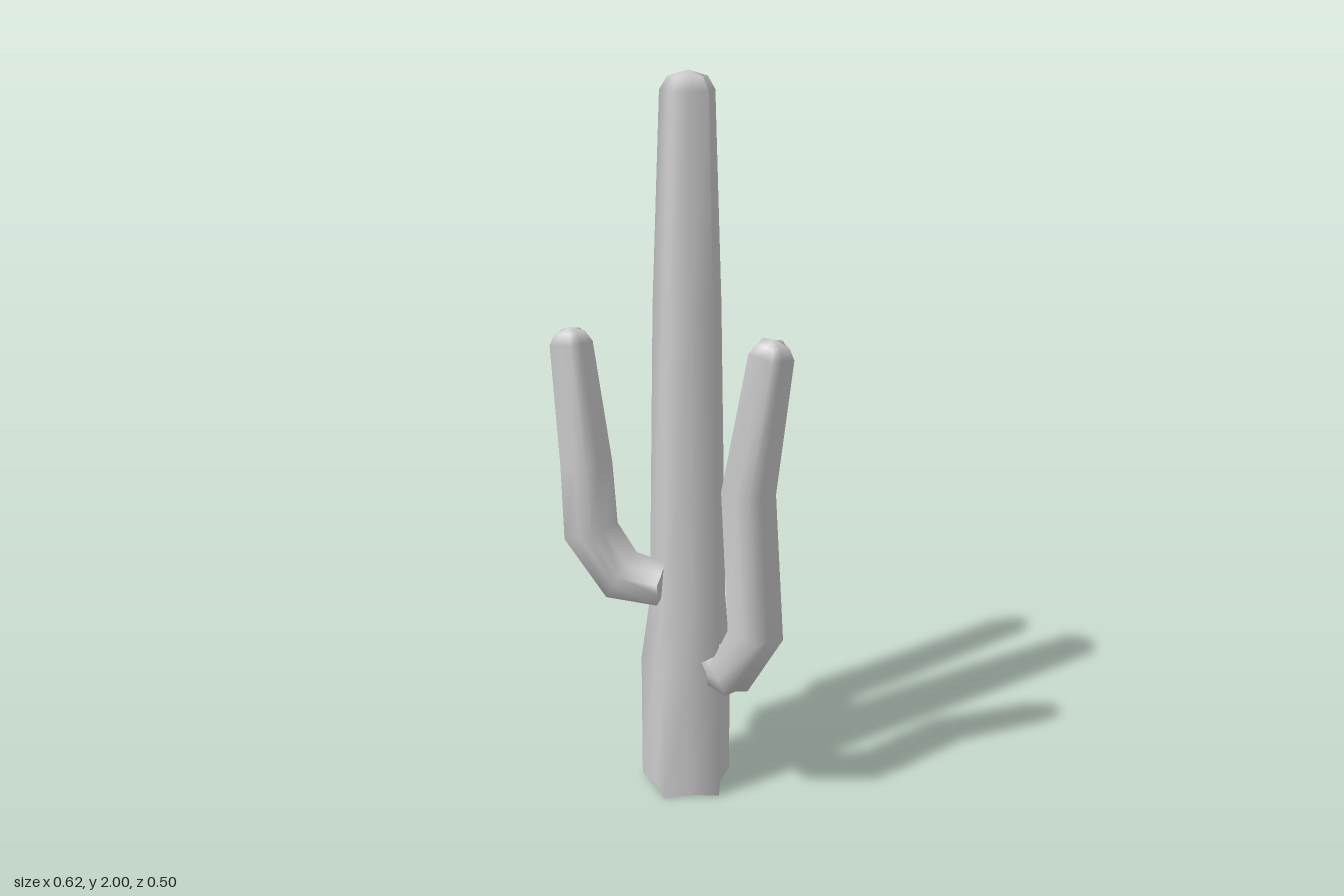
import * as THREE from 'three';

const RIBS = 5, SIDES = RIBS * 2, VALLEY = 0.73;

// Ribbed star-section stem swept along stations [x, y, z, radius], mitred at each bend,
// with a flat cap at the start and a rounded tip at the end.
function stem(name, stations, heading, twist) {
  const pts = stations.map(s => new THREE.Vector3(s[0], s[1], s[2]));
  const radii = stations.map(s => s[3]);
  const n = pts.length;

  // shoulder ring and apex of the rounded tip
  const end = pts[n - 1], r = radii[n - 1];
  const dir = end.clone().sub(pts[n - 2]).normalize();
  pts.push(end.clone().addScaledVector(dir, r * 0.45));
  radii.push(r * 0.72);
  const apex = end.clone().addScaledVector(dir, r * 0.66);

  const side = new THREE.Vector3(-Math.sin(heading), 0, Math.cos(heading));
  const pos = [], index = [];
  const rings = pts.length;

  for (let i = 0; i < rings; i++) {
    const next = pts[Math.min(i + 1, rings - 1)].clone().sub(pts[Math.min(i, rings - 2)]).normalize();
    const prev = i ? pts[i].clone().sub(pts[i - 1]).normalize() : next;
    const tangent = next.clone().add(prev).normalize();
    const miter = 1 / tangent.dot(prev);
    const u = tangent.clone().cross(side).normalize();
    const v = u.clone().cross(tangent);
    for (let j = 0; j < SIDES; j++) {
      const a = twist + (j / SIDES) * Math.PI * 2;
      const rad = radii[i] * (j % 2 ? VALLEY : 1);
      const p = pts[i].clone()
        .addScaledVector(u, Math.cos(a) * rad * miter)
        .addScaledVector(v, Math.sin(a) * rad);
      pos.push(p.x, p.y, p.z);
    }
  }

  // side walls
  for (let i = 0; i < rings - 1; i++) {
    for (let j = 0; j < SIDES; j++) {
      const k = (j + 1) % SIDES;
      const a = i * SIDES + j, b = a + SIDES, c = i * SIDES + k, d = c + SIDES;
      index.push(a, b, c, b, d, c);
    }
  }

  // tip fan
  const top = pos.length / 3, last = (rings - 1) * SIDES;
  pos.push(apex.x, apex.y, apex.z);
  for (let j = 0; j < SIDES; j++) index.push(last + j, top, last + (j + 1) % SIDES);

  // start cap with its own corners, so its edge stays sharp
  const cap = pos.length / 3;
  pos.push(...pos.slice(0, SIDES * 3), pts[0].x, pts[0].y, pts[0].z);
  for (let j = 0; j < SIDES; j++) index.push(cap + SIDES, cap + j, cap + (j + 1) % SIDES);

  const geo = new THREE.BufferGeometry();
  geo.setAttribute('position', new THREE.Float32BufferAttribute(pos, 3));
  geo.setIndex(index);
  geo.computeVertexNormals();
  const mesh = new THREE.Mesh(geo, new THREE.MeshStandardMaterial({ color: 0xcccccc }));
  mesh.name = name;
  return mesh;
}

// Arm whose bend plane runs from its first station to its last
function arm(name, stations, twistDegrees) {
  const a = stations[0], b = stations[stations.length - 1];
  const heading = Math.atan2(b[2] - a[2], b[0] - a[0]);
  return stem(name, stations, heading, THREE.MathUtils.degToRad(twistDegrees));
}

export function createModel() {
  const group = new THREE.Group();
  group.name = 'cactus';

  group.add(stem('trunk', [
    [-0.043, 0, -0.025, 0.134],
    [-0.043, 0.37, -0.025, 0.134],
    [-0.034, 0.56, -0.023, 0.112],
    [-0.036, 1.4, -0.022, 0.096],
    [-0.034, 1.95, -0.02, 0.075],
  ], 0, 0));

  group.add(arm('leftArm', [
    [0.048, 0.39, -0.04, 0.055],
    [0.115, 0.395, -0.042, 0.07],
    [0.208, 0.55, -0.044, 0.077],
    [0.175, 0.94, -0.044, 0.075],
    [0.252, 1.32, -0.042, 0.061],
  ], 44));

  group.add(arm('backRightArm', [
    [-0.085, 0.6, -0.07, 0.075],
    [-0.15, 0.605, -0.12, 0.082],
    [-0.222, 0.74, -0.165, 0.083],
    [-0.225, 1.0, -0.17, 0.081],
    [-0.256, 1.715, -0.192, 0.065],
  ], 24));

  group.add(arm('frontRightArm', [
    [-0.06, 0.63, 0.05, 0.065],
    [-0.16, 0.645, 0.112, 0.074],
    [-0.225, 0.775, 0.168, 0.078],
    [-0.23, 0.97, 0.175, 0.074],
    [-0.254, 1.302, 0.198, 0.06],
  ], 41));

  return group;
}
